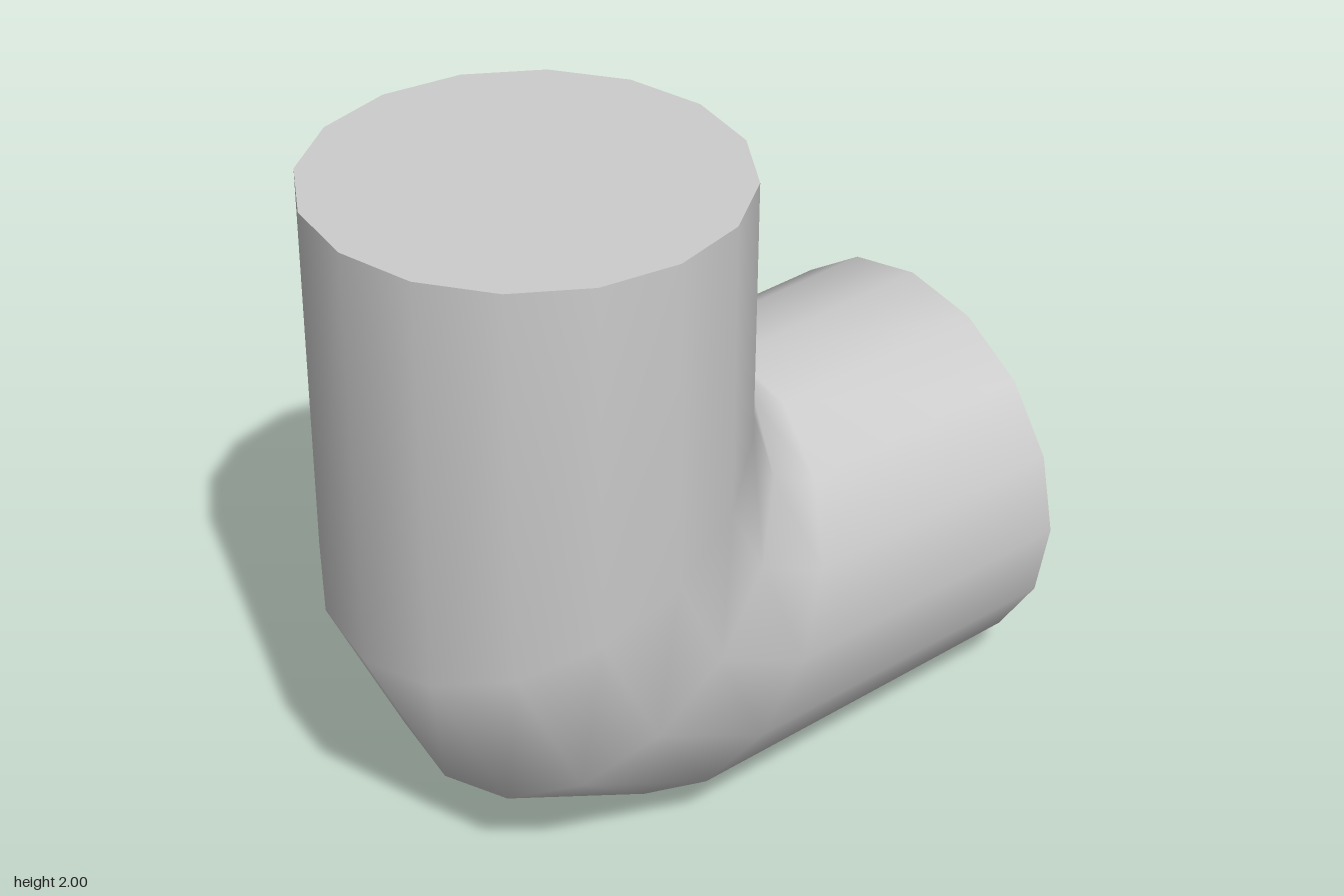
import * as THREE from 'three';

const SIDES = 16;
const RADIUS = 0.588;

// Each section spans from the outer to the inner side of the bend: [outerX, outerY, innerX, innerY]
const SECTIONS = [
  [-1, 2, 0.177, 2],
  [-0.988, 0.77, 0.167, 1.33],
  [-0.74, 0.262, 0.215, 1.23],
  [-0.236, 0.015, 0.308, 1.185],
  [1, 0.003, 1, 1.18],
];

// Elliptical ring of points around one section
function ring([ox, oy, ix, iy]) {
  const points = [];
  for (let j = 0; j < SIDES; j++) {
    const a = (j / SIDES) * Math.PI * 2;
    const t = (1 - Math.cos(a)) / 2;
    points.push(ox + (ix - ox) * t, oy + (iy - oy) * t, RADIUS * Math.sin(a));
  }
  return points;
}

function makeMesh(name, positions, index, material) {
  const geometry = new THREE.BufferGeometry();
  geometry.setAttribute('position', new THREE.Float32BufferAttribute(positions, 3));
  geometry.setIndex(index);
  geometry.computeVertexNormals();
  const mesh = new THREE.Mesh(geometry, material);
  mesh.name = name;
  return mesh;
}

// Flat fan closing one end
function makeCap(name, section, flip, material) {
  const index = [];
  for (let j = 1; j < SIDES - 1; j++) index.push(0, ...(flip ? [j + 1, j] : [j, j + 1]));
  return makeMesh(name, ring(section), index, material);
}

export function createModel() {
  const group = new THREE.Group();
  group.name = 'pipeElbow';
  const material = new THREE.MeshStandardMaterial({ color: 0xcccccc });

  // Smooth pipe wall joining consecutive sections
  const index = [];
  for (let i = 0; i < SECTIONS.length - 1; i++) {
    for (let j = 0; j < SIDES; j++) {
      const k = (j + 1) % SIDES;
      const a = i * SIDES + j, b = i * SIDES + k;
      const c = a + SIDES, d = b + SIDES;
      index.push(a, c, b, b, c, d);
    }
  }
  group.add(makeMesh('pipeWall', SECTIONS.flatMap(ring), index, material));

  // End caps
  group.add(makeCap('topCap', SECTIONS[0], false, material));
  group.add(makeCap('sideCap', SECTIONS[SECTIONS.length - 1], true, material));
  return group;
}
